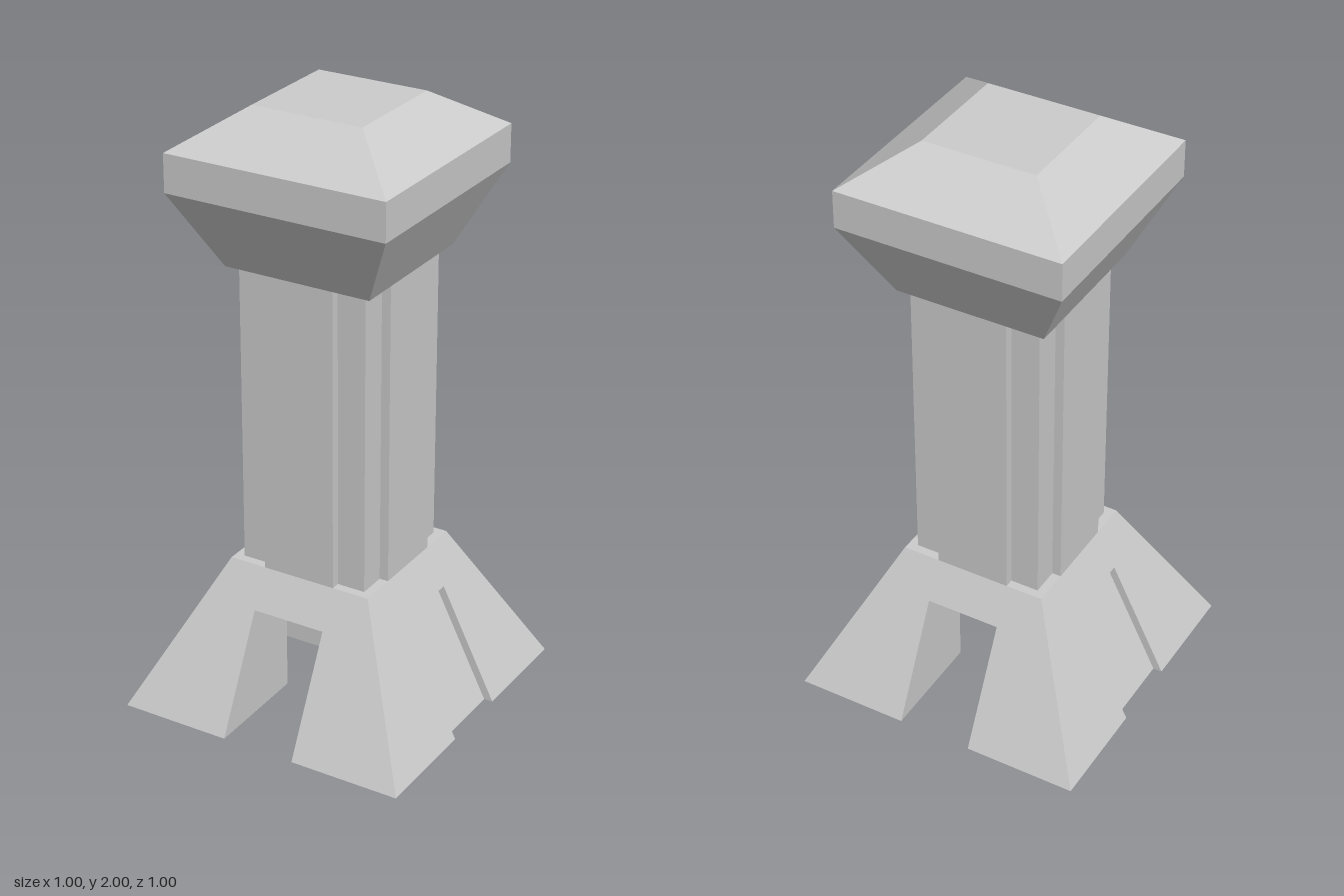
import * as THREE from 'three';

const FOOT = 0.5, WAIST = 0.25, DOOR = 0.125, DOOR_TOP = 0.375, BASE_TOP = 0.5, SHAFT_TOP = 1.5;
const slope = y => FOOT - y / 2; // half width of the base at height y

const grey = new THREE.MeshStandardMaterial({ color: 0xcccccc, flatShading: true });
const greyOpen = new THREE.MeshStandardMaterial({ color: 0xcccccc, flatShading: true, side: THREE.DoubleSide });

function mesh(name, geometry, material = grey) {
  const m = new THREE.Mesh(geometry, material);
  m.name = name;
  return m;
}

// Flat-sided geometry from four-cornered faces
function quads(faces) {
  const points = [];
  for (const [a, b, c, d] of faces) points.push(...a, ...b, ...c, ...a, ...c, ...d);
  const g = new THREE.BufferGeometry();
  g.setAttribute('position', new THREE.Float32BufferAttribute(points, 3));
  g.computeVertexNormals();
  return g;
}

// A point on the sloped +z side of the base, optionally set back
const onSlope = (x, y, inset = 0) => [x, y, slope(y) - inset];

// One sloped side with its doorway, passage walls and passage ceiling
function baseSide() {
  const top = slope(DOOR_TOP), H = DOOR_TOP, D = DOOR;
  const wall = x => [[x, 0, D], [x, 0, FOOT], [x, H, top], [x, H, D]];
  return quads([
    [onSlope(-FOOT, 0), onSlope(-D, 0), onSlope(-D, H), onSlope(-top, H)],
    [onSlope(D, 0), onSlope(FOOT, 0), onSlope(top, H), onSlope(D, H)],
    [onSlope(-top, H), onSlope(top, H), onSlope(WAIST, BASE_TOP), onSlope(-WAIST, BASE_TOP)],
    wall(D), wall(-D).reverse(),
    [[-D, H, D], [D, H, D], [D, H, top], [-D, H, top]],
  ]);
}

function createBase() {
  const base = new THREE.Group();
  base.name = 'base';
  const W = WAIST, D = DOOR, H = DOOR_TOP;
  for (let i = 0; i < 4; i++) {
    const side = mesh('baseSide', baseSide(), greyOpen);
    side.rotation.y = i * Math.PI / 2;
    base.add(side);
  }
  base.add(mesh('baseTop', quads([
    [[-W, BASE_TOP, W], [W, BASE_TOP, W], [W, BASE_TOP, -W], [-W, BASE_TOP, -W]],
  ]), greyOpen));
  base.add(mesh('passageCeiling', quads([
    [[-D, H, -D], [D, H, -D], [D, H, D], [-D, H, D]],
  ]), greyOpen));
  // Sloped panels closing the left and right doorways, slightly recessed
  for (const s of [-1, 1]) {
    const panel = mesh('recessedPanel', quads([
      [onSlope(-D, 0, 0.03), onSlope(D, 0, 0.03), onSlope(D, H, 0.03), onSlope(-D, H, 0.03)],
    ]), greyOpen);
    panel.rotation.y = s * Math.PI / 2;
    base.add(panel);
  }
  return base;
}

// Square core with a raised strip down the middle of each face
function createShaft() {
  const shaft = new THREE.Group();
  shaft.name = 'shaft';
  const height = SHAFT_TOP - BASE_TOP, core = 0.22;
  shaft.add(mesh('shaftCore', new THREE.BoxGeometry(core * 2, height, core * 2)));
  for (let i = 0; i < 4; i++) {
    const g = new THREE.BoxGeometry(DOOR * 2, height, WAIST - core);
    g.translate(0, 0, (WAIST + core) / 2);
    const strip = mesh('shaftStrip', g);
    strip.rotation.y = i * Math.PI / 2;
    shaft.add(strip);
  }
  shaft.position.y = (BASE_TOP + SHAFT_TOP) / 2;
  return shaft;
}

// Four-sided flared head with a bevelled roof
function createHead() {
  const profile = [[0, 1.5], [WAIST, 1.5], [0.375, 1.75], [0.375, 1.875], [0.1875, 2], [0, 2]]
    .map(([half, y]) => new THREE.Vector2(half * Math.SQRT2, y));
  const g = new THREE.LatheGeometry(profile, 4, Math.PI / 4).toNonIndexed();
  g.computeVertexNormals();
  return mesh('head', g);
}

export function createModel() {
  const model = new THREE.Group();
  model.name = 'tower';
  model.add(createBase(), createShaft(), createHead());
  return model;
}
